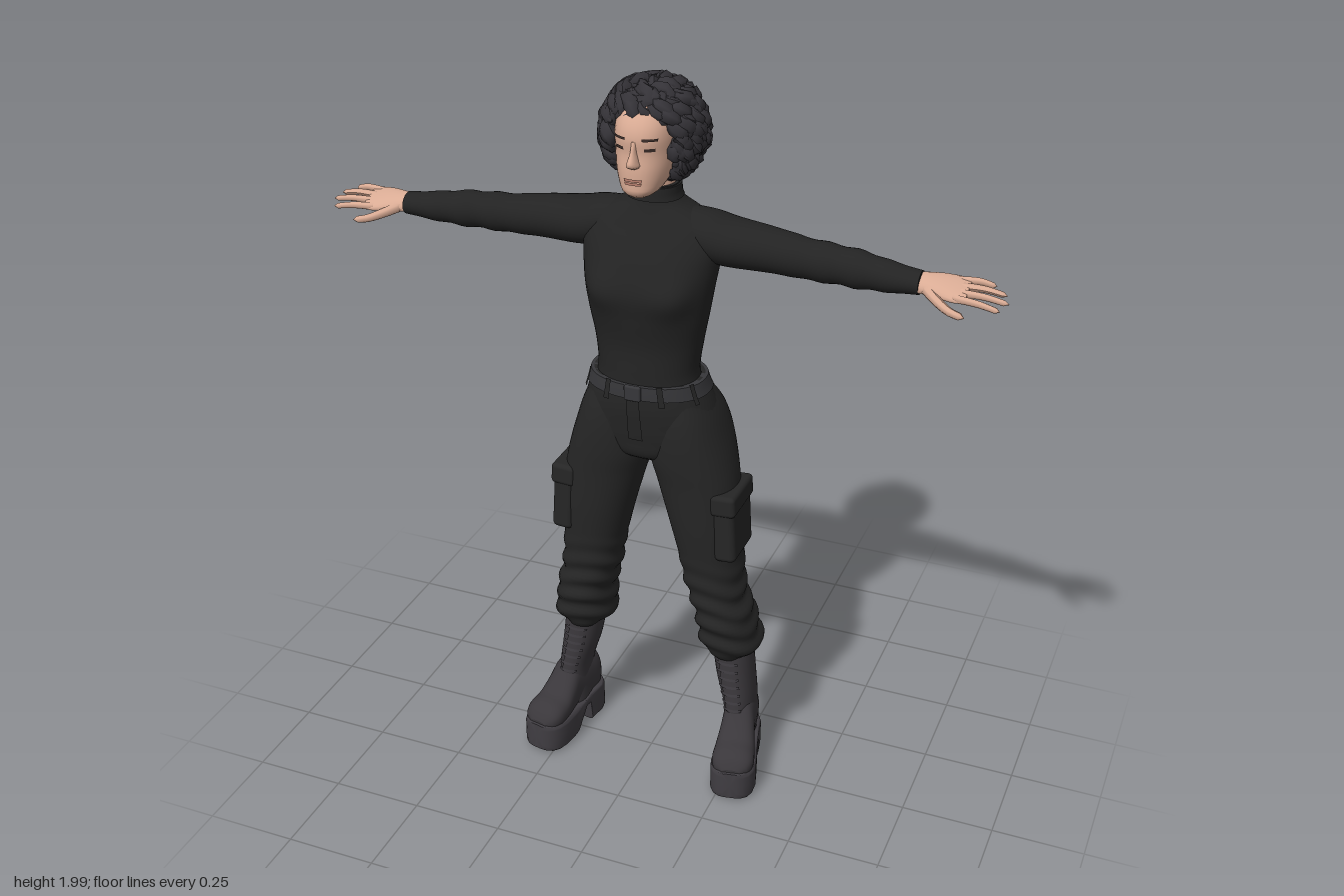
import * as THREE from 'three';
import { mergeGeometries, toCreasedNormals } from 'three/addons/utils/BufferGeometryUtils.js';
import { RoundedBoxGeometry } from 'three/addons/geometries/RoundedBoxGeometry.js';

const mat = (name, color) => {
  const m = new THREE.MeshStandardMaterial({ color });
  m.name = name;
  return m;
};

// Section = [t, a0, a1, b0, b1]; smooth (Hermite) or straight interpolation between sections
function sectionAt(s, t, linear) {
  let i = 0;
  while (i < s.length - 2 && t > s[i + 1][0]) i++;
  const p = s[i], q = s[i + 1], h = q[0] - p[0], u = (t - p[0]) / h;
  const slope = (k, c) => {
    const l = s[Math.max(k - 1, 0)], r = s[Math.min(k + 1, s.length - 1)];
    return (r[c] - l[c]) / (r[0] - l[0]);
  };
  return [1, 2, 3, 4].map(c => linear ? p[c] + (q[c] - p[c]) * u
    : p[c] * (2 * u ** 3 - 3 * u * u + 1) + q[c] * (3 * u * u - 2 * u ** 3)
      + h * (slope(i, c) * (u ** 3 - 2 * u * u + u) + slope(i + 1, c) * (u ** 3 - u * u)));
}

const upY = (t, a, b) => [a, t, b], alongX = (t, a, b) => [t, b, a], alongZ = (t, a, b) => [b, a, t];

// Skin over sections; a limited angle range gives a patch lying on that surface
function loft(s, { place = upY, n = 2.2, seg = 32, steps = 32, t0 = s[0][0], t1 = s[s.length - 1][0],
  th0 = 0, th1 = Math.PI * 2, grow = 0, fold = () => 0, linear = false } = {}) {
  const full = th1 - th0 > 6.28, pos = [], idx = [], w = full ? seg : seg + 1;
  const ts = linear ? s.map(r => r[0]) : Array.from({ length: steps + 1 }, (_, i) => t0 + (t1 - t0) * i / steps);
  const pw = v => Math.sign(v) * Math.abs(v) ** (2 / n);
  const ring = t => {
    const [a0, a1, b0, b1] = sectionAt(s, t, linear);
    for (let j = 0; j < w; j++) {
      const th = th0 + (th1 - th0) * j / seg, g = grow + fold(t, th);
      pos.push(...place(t, (a0 + a1) / 2 + ((a1 - a0) / 2 + g) * pw(Math.cos(th)),
        (b0 + b1) / 2 + ((b1 - b0) / 2 + g) * pw(Math.sin(th))));
    }
  };
  ts.forEach(ring);
  for (let i = 0; i < ts.length - 1; i++) for (let j = 0; j < seg; j++) {
    const p = i * w + j, q = i * w + (j + 1) % w;
    idx.push(p, p + w, q, q, p + w, q + w);
  }
  if (full) [0, ts.length - 1].forEach(e => {
    const base = pos.length / 3, [a0, a1, b0, b1] = sectionAt(s, ts[e], linear);
    ring(ts[e]);
    pos.push(...place(ts[e], (a0 + a1) / 2, (b0 + b1) / 2));
    for (let j = 0; j < w; j++) {
      const p = base + j, q = base + (j + 1) % w;
      idx.push(base + w, ...(e ? [q, p] : [p, q]));
    }
  });
  const g = new THREE.BufferGeometry();
  g.setAttribute('position', new THREE.Float32BufferAttribute(pos, 3));
  g.setIndex(idx);
  g.computeVertexNormals();
  return g;
}

// Tube whose radius follows a rule along its length
function taperTube(points, radius, rule, T = 8, R = 7) {
  const c = new THREE.CatmullRomCurve3(points.map(p => new THREE.Vector3(...p)));
  const g = new THREE.TubeGeometry(c, T, radius, R), p = g.attributes.position, v = new THREE.Vector3();
  for (let i = 0; i < p.count; i++) {
    const u = Math.floor(i / (R + 1)) / T, o = c.getPointAt(u);
    v.fromBufferAttribute(p, i).sub(o).multiplyScalar(rule(u)).add(o);
    p.setXYZ(i, v.x, v.y, v.z);
  }
  g.computeVertexNormals();
  return g;
}

// Mirror a finished limb to the other side, keeping faces outward
function mirrored(group, name) {
  const out = new THREE.Group();
  out.name = name;
  group.updateMatrixWorld(true);
  group.traverse(o => {
    if (!o.isMesh) return;
    const g = o.geometry.clone().applyMatrix4(o.matrixWorld).applyMatrix4(new THREE.Matrix4().makeScale(-1, 1, 1));
    const order = g.index ? [...g.index.array] : [...Array(g.attributes.position.count).keys()];
    g.setIndex(order.reverse());
    const m = new THREE.Mesh(g, o.material);
    m.name = o.name;
    out.add(m);
  });
  return out;
}

const sym = rows => rows.map(([t, x, b0, b1]) => [t, -x, x, b0, b1]);

export function createModel() {
  const M = {
    skin: mat('skin', 0xd9ab94), lips: mat('lips', 0xb9806f), dark: mat('eye dark', 0x3a2c28),
    hair: mat('hair', 0x353338), top: mat('sweater', 0x232323), pants: mat('trousers', 0x262626),
    belt: mat('belt', 0x37373a), boot: mat('boot', 0x3a373b), sole: mat('sole', 0x403d42),
  };
  const model = new THREE.Group();
  model.name = 'figure';
  const add = (parent, name, geo, material, pos = [0, 0, 0], rot = [0, 0, 0]) => {
    const m = new THREE.Mesh(geo, material);
    m.name = name;
    m.position.set(...pos);
    m.rotation.set(...rot);
    parent.add(m);
    return m;
  };
  const group = name => Object.assign(new THREE.Group(), { name });
  const bell = (x, w) => Math.exp(-((x / w) ** 2));

  // Sweater body with turtleneck
  const torso = sym([[1.21, .138, -.085, .118], [1.25, .133, -.085, .115], [1.32, .142, -.088, .112],
    [1.4, .157, -.095, .123], [1.47, .168, -.105, .128], [1.54, .178, -.115, .11], [1.59, .182, -.118, .085],
    [1.63, .163, -.11, .06], [1.66, .112, -.1, .045], [1.685, .068, -.088, .035], [1.725, .06, -.08, .03]]);
  add(model, 'sweater', loft(torso, { seg: 48, steps: 48,
    fold: (t, th) => .018 * bell(t - 1.47, .055) * (bell(th - 1.05, .35) + bell(th - 2.09, .35)) }), M.top);
  add(model, 'collar', loft(torso, { t0: 1.688, t1: 1.722, grow: .005, steps: 4 }), M.top);

  // Head
  const head = sym([[1.72, .022, .04, .1], [1.732, .042, .01, .116], [1.755, .057, -.03, .118],
    [1.79, .07, -.08, .118], [1.83, .076, -.1, .114], [1.87, .078, -.105, .116], [1.905, .074, -.1, .104],
    [1.94, .058, -.08, .075], [1.965, .03, -.05, .035]]);
  const face = group('head');
  model.add(face);
  add(face, 'face', loft(head, { n: 2.3 }), M.skin);
  add(face, 'neck', new THREE.CylinderGeometry(.052, .052, .12, 24), M.skin, [0, 1.735, -.025]);
  add(face, 'nose', loft([[1.797, -.008, .008, .09, .118], [1.805, -.017, .017, .09, .137], [1.815, -.014, .014, .09, .142],
    [1.84, -.008, .008, .09, .128], [1.865, -.008, .008, .09, .118]], { seg: 16, steps: 14, n: 2 }), M.skin);
  [[1.758, 1.765, .0035], [1.767, 1.774, .0045]].forEach(([t0, t1, grow]) =>
    add(face, 'lip', loft(head, { n: 2.3, t0, t1, th0: 1.28, th1: 1.86, grow, seg: 8, steps: 3 }), M.lips));
  for (const s of [-1, 1]) {
    const mid = Math.PI / 2 - s * .46;
    add(face, 'eye', loft(head, { n: 2.3, t0: 1.842, t1: 1.85, th0: mid - .17, th1: mid + .17, grow: .002, seg: 8, steps: 2 }), M.dark);
    add(face, 'eyebrow', loft(head, { n: 2.3, t0: 1.868, t1: 1.874, th0: mid - .24, th1: mid + .24, grow: .003, seg: 8, steps: 2 }), M.dark);
  }

  // Hair: a cap covered by wavy tapered locks, left open around the face
  let seed = 7;
  const rnd = () => (seed = (seed * 16807) % 2147483647) / 2147483647;
  const scalp = (th, ph, k = 1) => {
    const z = Math.sin(ph) * Math.cos(th);
    return [Math.sin(ph) * Math.sin(th) * .123 * k, 1.856 + Math.cos(ph) * .124 * k, -.02 + z * (z > 0 ? .12 : .11) * k];
  };
  const cap = new THREE.SphereGeometry(1, 24, 16).scale(.115, .115, .095);
  add(face, 'hairCap', cap, M.hair, [0, 1.86, -.032]);
  const locks = [];
  for (let i = 0; i < 330; i++) {
    const ph = Math.acos(1 - 1.72 * (i + .5) / 330), th = i * 2.39996 + rnd() * .3, wave = rnd() * 6.28;
    const pts = [0, 1, 2, 3, 4, 5].map(k => scalp(
      th + .11 * Math.sin(wave + k * 1.5) / Math.max(Math.sin(ph), .35),
      Math.min(ph + k * .11, 2.75), .97 + .05 * Math.cos(wave + k * 1.5)));
    if (pts.some(p => Math.abs(p[0]) < .072 && p[2] > .03 && p[1] < 1.885 + .02 * bell(p[0], .03))) continue;
    locks.push(taperTube(pts, .016 + .006 * rnd(), u => Math.sqrt(Math.max(0, Math.sin(Math.PI * (.12 + .88 * u)))), 9, 6));
  }
  add(face, 'hairLocks', mergeGeometries(locks), M.hair);

  // Arm, sleeve and hand; sections run outward along x as [x, z0, z1, y0, y1]
  const arm = group('leftArm');
  add(arm, 'sleeve', loft([[.08, -.09, .035, 1.56, 1.668], [.15, -.105, .045, 1.535, 1.662], [.2, -.108, .042, 1.527, 1.65],
    [.3, -.098, .025, 1.525, 1.637], [.4, -.083, .017, 1.523, 1.624], [.48, -.077, .018, 1.523, 1.62],
    [.55, -.066, .024, 1.526, 1.615], [.62, -.05, .03, 1.534, 1.606], [.685, -.035, .032, 1.543, 1.6]],
    { place: alongX, n: 2, steps: 40, fold: t => .0025 * Math.sin(t * 75) * bell(t - .5, .12) }), M.top);
  const tilt = (t, a, b) => [t, b - a * .35, a];
  add(arm, 'palm', loft([[.66, -.024, .026, 1.553, 1.591], [.7, -.028, .03, 1.556, 1.592], [.74, -.038, .038, 1.556, 1.588],
    [.78, -.042, .042, 1.557, 1.581], [.8, -.038, .038, 1.562, 1.576]], { place: tilt, steps: 12, seg: 20 }), M.skin);
  [[.03, .042, .885], [.01, .014, .9], [-.01, -.012, .89], [-.03, -.037, .858]].forEach(([z0, z1, x]) =>
    add(arm, 'finger', taperTube([[.77, 1.57 - z0 * .35, z0], [(x + .78) / 2, 1.571 - z1 * .35, (z0 + z1) / 2], [x, 1.562 - z1 * .35, z1]],
      .0105, u => u > .99 ? 0 : 1 - .35 * u, 10), M.skin));
  add(arm, 'thumb', taperTube([[.7, 1.566, .015], [.735, 1.552, .045], [.77, 1.54, .066], [.81, 1.533, .076]],
    .0145, u => u > .99 ? 0 : 1 - .4 * u, 10), M.skin);
  model.add(arm, mirrored(arm, 'rightArm'));

  // Hips and belt
  const hips = sym([[.975, .06, -.06, .05], [1.0, .12, -.1, .085], [1.05, .185, -.125, .1], [1.1, .186, -.13, .11],
    [1.15, .172, -.12, .118], [1.2, .153, -.1, .12], [1.225, .146, -.092, .119]]);
  add(model, 'trouserHips', loft(hips, { seg: 48 }), M.pants);
  add(model, 'belt', loft(hips, { t0: 1.188, t1: 1.225, grow: .008, steps: 4, seg: 48 }), M.belt);
  add(model, 'buckle', new RoundedBoxGeometry(.045, .042, .012, 2, .005), M.belt, [0, 1.207, .13]);
  [.5, 1.15, 1.99, 2.64, 3.7, 4.71, 5.72].forEach(a => add(model, 'beltLoop',
    loft(hips, { t0: 1.175, t1: 1.232, th0: a - .05, th1: a + .05, grow: .012, seg: 3, steps: 3 }), M.pants));
  add(model, 'fly', loft(hips, { t0: 1.06, t1: 1.185, th0: 1.5, th1: 1.66, grow: .004, seg: 3, steps: 8 }), M.pants);

  // Trouser leg with gathered cuff
  const legRows = [[.365, .17, .275, -.12, .01], [.385, .145, .293, -.136, .03], [.42, .132, .303, -.143, .043],
    [.46, .13, .29, -.128, .05], [.5, .126, .287, -.128, .06], [.55, .115, .27, -.112, .062], [.6, .1, .262, -.102, .066],
    [.7, .08, .255, -.103, .075], [.8, .055, .25, -.105, .085], [.92, .021, .24, -.115, .093], [.99, 0, .226, -.135, .1],
    [1.06, .002, .206, -.148, .103], [1.12, .01, .185, -.134, .1], [1.18, .03, .155, -.09, .09]];
  const leg = group('leftLeg');
  add(leg, 'trouserLeg', loft(legRows, { seg: 40, steps: 80,
    fold: (t, th) => t < .72 ? .0055 * Math.sin(t * 95 + 1.6 * Math.sin(th * 2 + 1)) * Math.min(1, (.72 - t) * 7) : 0 }), M.pants);
  const tiltZ = [0, 0, .06];
  add(leg, 'cargoPocket', new RoundedBoxGeometry(.06, .2, .15, 3, .016), M.pants, [.229, .82, 0], tiltZ);
  add(leg, 'cargoFlap', new RoundedBoxGeometry(.07, .06, .158, 3, .012), M.pants, [.226, .89, 0], tiltZ);
  add(leg, 'backPocket', loft(legRows, { t0: 1.0, t1: 1.12, th0: 4.3, th1: 5.25, grow: .006, seg: 10, steps: 8 }), M.pants);
  add(leg, 'backPocketFlap', loft(legRows, { t0: 1.085, t1: 1.125, th0: 4.25, th1: 5.3, grow: .011, seg: 10, steps: 4 }), M.pants);

  // Boot shaft with laces
  const shaft = [[.08, .21, .296, -.118, .03], [.2, .21, .295, -.12, .024], [.3, .183, .286, -.122, .015], [.4, .165, .277, -.122, .008]];
  add(leg, 'bootShaft', loft(shaft, { steps: 16 }), M.boot);
  add(leg, 'bootTongue', loft(shaft, { t0: .2, t1: .36, th0: 1.2, th1: 1.95, grow: .003, seg: 6, steps: 6 }), M.boot);
  for (let i = 0; i < 7; i++) add(leg, 'lace', loft(shaft, { t0: .205 + i * .024, t1: .213 + i * .024,
    th0: 1.05, th1: 2.1, grow: .006, seg: 8, steps: 1 }), M.sole);

  // Foot turned outward; sections run heel to toe as [z, y0, y1, x0, x1]
  const foot = group('foot');
  foot.position.set(.252, 0, -.06);
  foot.rotation.y = .2;
  leg.add(foot);
  add(foot, 'bootUpper', loft([[-.068, .08, .17, -.025, .025], [-.05, .07, .21, -.042, .042], [0, .06, .23, -.046, .046],
    [.06, .06, .225, -.046, .046], [.09, .06, .19, -.05, .05], [.13, .06, .152, -.056, .056], [.17, .06, .14, -.058, .058],
    [.198, .07, .122, -.046, .046], [.21, .08, .1, -.025, .025]], { place: alongZ, n: 2.4, steps: 28 }), M.boot);
  const soleRow = (z, y0, w, y1 = .092) => [z, y0, y1, -w, w];
  add(foot, 'platformSole', toCreasedNormals(loft([soleRow(-.074, 0, .028, .1), soleRow(-.062, 0, .044, .1), soleRow(-.04, 0, .052, .1),
    soleRow(.012, 0, .053, .098), soleRow(.02, .066, .053, .096), soleRow(.04, .066, .054), soleRow(.085, .004, .058), soleRow(.1, 0, .06),
    soleRow(.15, 0, .064), soleRow(.18, 0, .06), soleRow(.2, .002, .05), soleRow(.212, .006, .036), soleRow(.218, .01, .02)],
    { place: alongZ, linear: true, n: 9, seg: 40 }), .6), M.sole);
  model.add(leg, mirrored(leg, 'rightLeg'));
  return model;
}
